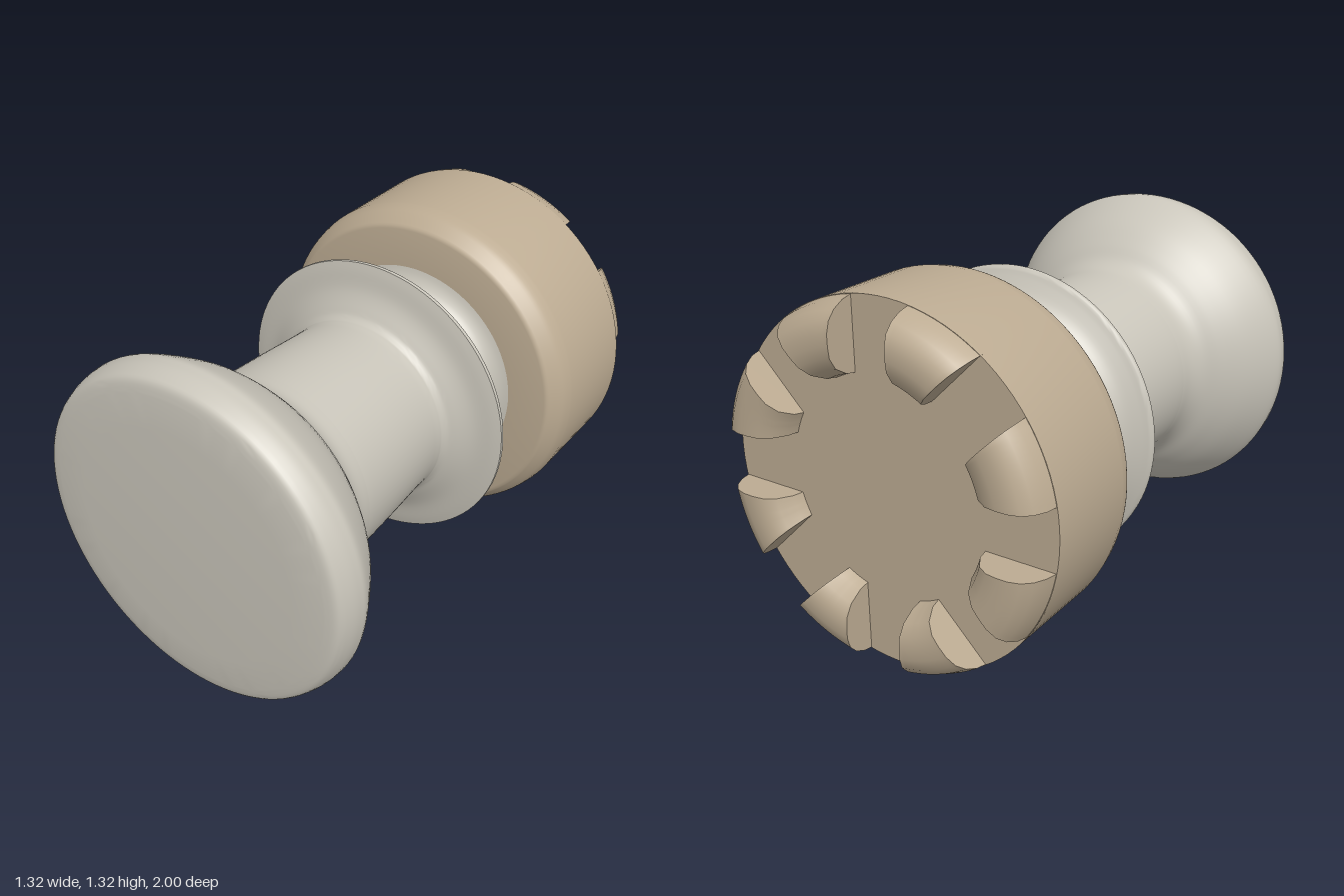
import * as THREE from 'three';
import { toCreasedNormals } from 'three/addons/utils/BufferGeometryUtils.js';

const AXIS_Y = 0.66;
const bodyMat = new THREE.MeshStandardMaterial({ color: 0xc9c5ba });
const crownMat = new THREE.MeshStandardMaterial({ color: 0xbcab92 });

const vecs = (pairs) => pairs.map(([r, h]) => new THREE.Vector2(r, h));
const smooth = (pairs, n) => new THREE.SplineCurve(vecs(pairs)).getPoints(n);

// Turned part: profile of (radius, height) along the piece's own axis
function turned(name, points, material) {
  const geo = toCreasedNormals(new THREE.LatheGeometry(points, 96), 0.7);
  const mesh = new THREE.Mesh(geo, material);
  mesh.name = name;
  return mesh;
}

// One battlement block, swept between two parallel-sided notches
function merlonGeometry() {
  const halfNotch = 0.113, steps = 12;
  const profile = [[0.4, 0.87], [0.41, 0.92], [0.44, 0.97], [0.48, 0.995], [0.52, 1], [0.56, 1],
    [0.6, 0.988], [0.63, 0.96], [0.65, 0.92], [0.66, 0.87]];
  const m = profile.length, pos = [], idx = [];
  for (let i = 0; i <= steps; i++) {
    const t = (2 * i) / steps - 1;
    for (const [r, h] of profile) {
      const a = t * (Math.PI / 8 - Math.asin(halfNotch / r));
      pos.push(r * Math.sin(a), h, r * Math.cos(a));
    }
  }
  for (let i = 0; i < steps; i++) {
    for (let j = 0; j < m - 1; j++) {
      const a = i * m + j, b = a + m;
      idx.push(a, a + 1, b, a + 1, b + 1, b);
    }
  }
  // Side walls facing the notches
  const last = steps * m;
  for (let j = 1; j < m - 1; j++) {
    idx.push(0, j + 1, j, last, last + j, last + j + 1);
  }
  const geo = new THREE.BufferGeometry();
  geo.setAttribute('position', new THREE.Float32BufferAttribute(pos, 3));
  geo.setIndex(idx);
  return toCreasedNormals(geo, 0.7);
}

export function createModel() {
  const model = new THREE.Group();
  model.name = 'rook';

  // The piece is built upright, then laid down with its base to the front
  const piece = new THREE.Group();
  piece.name = 'piece';
  piece.rotation.x = -Math.PI / 2;
  piece.position.y = AXIS_Y;
  model.add(piece);

  // Wide rounded base
  const base = [
    ...vecs([[0, -1], [0.45, -0.998]]),
    ...smooth([[0.57, -0.992], [0.615, -0.98], [0.635, -0.945], [0.645, -0.9], [0.638, -0.85],
      [0.565, -0.73], [0.49, -0.65], [0.43, -0.6], [0.402, -0.55], [0.394, -0.49]], 40),
  ];
  piece.add(turned('base', base, bodyMat));

  // Tapering stem flaring into the underside of the collar
  const stem = smooth([[0.394, -0.49], [0.382, -0.25], [0.369, -0.03], [0.377, 0.02], [0.41, 0.045],
    [0.47, 0.075], [0.54, 0.09], [0.572, 0.098]], 32);
  piece.add(turned('stem', stem, bodyMat));

  // Sharp collar and narrow neck
  const collar = smooth([[0.572, 0.098], [0.57, 0.115], [0.54, 0.132], [0.49, 0.165], [0.45, 0.21],
    [0.385, 0.27], [0.37, 0.3], [0.378, 0.34], [0.415, 0.37], [0.46, 0.385]], 36);
  piece.add(turned('collar', collar, bodyMat));

  // Crown drum with a flat top floor
  const drum = [
    ...vecs([[0.36, 0.38], [0.595, 0.38]]),
    ...smooth([[0.607, 0.384], [0.632, 0.415], [0.65, 0.445], [0.66, 0.49]], 10),
    ...vecs([[0.66, 0.88], [0, 0.88]]),
  ];
  piece.add(turned('crown', drum, crownMat));

  // Eight battlements around the rim
  const battlements = new THREE.Group();
  battlements.name = 'battlements';
  const geo = merlonGeometry();
  for (let k = 0; k < 8; k++) {
    const merlon = new THREE.Mesh(geo, crownMat);
    merlon.name = 'merlon' + (k + 1);
    merlon.rotation.y = (k + 0.5) * Math.PI / 4;
    battlements.add(merlon);
  }
  piece.add(battlements);

  return model;
}
